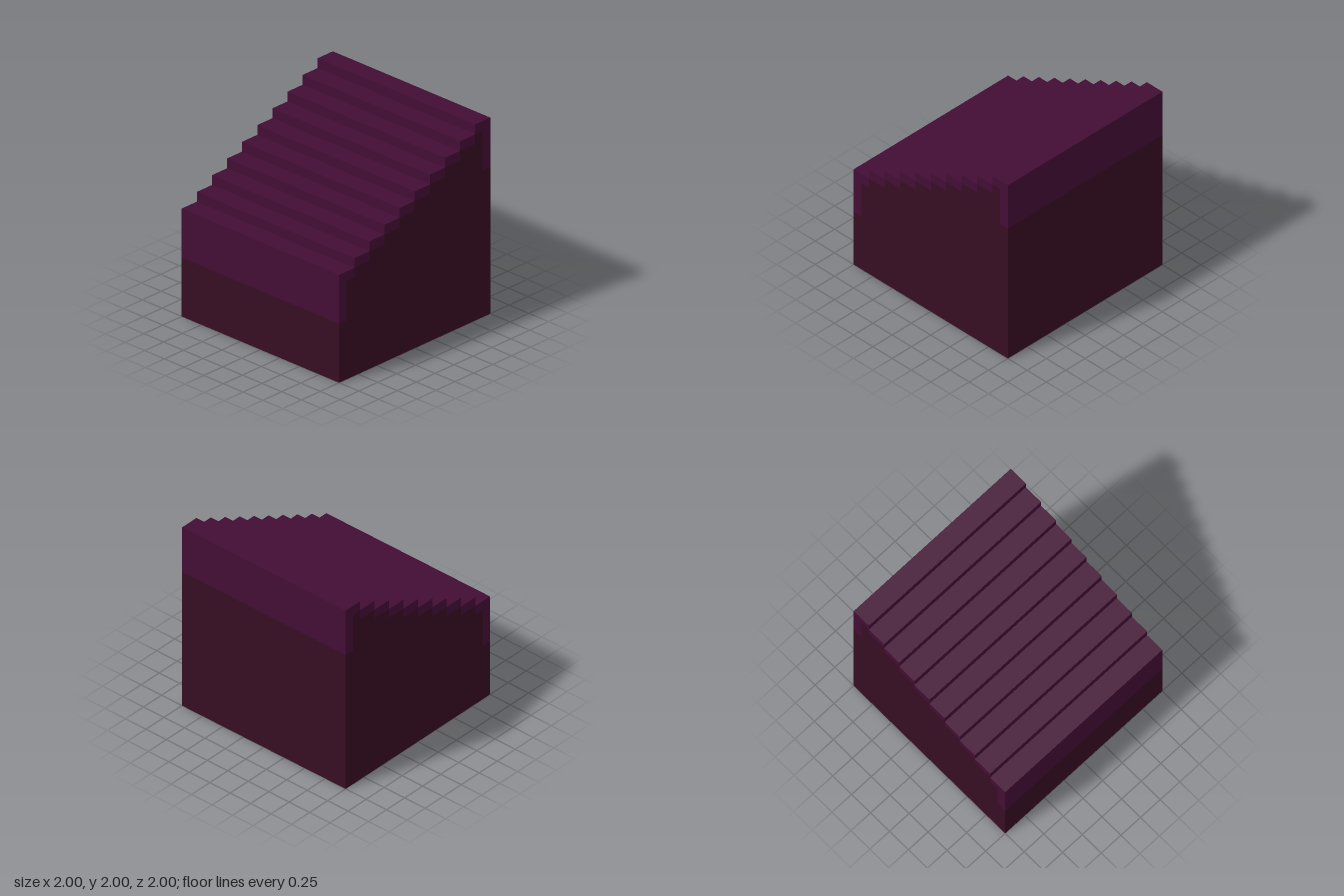
import * as THREE from 'three';

const STEPS = 10, RUN = 0.2, RISE = 0.1, WIDTH = 2;

export function createModel() {
  const group = new THREE.Group();
  group.name = 'staircaseBlock';
  const trimMat = new THREE.MeshStandardMaterial({ color: 0x430d35 });
  trimMat.name = 'plum trim';
  const baseMat = new THREE.MeshStandardMaterial({ color: 0x360d22 });
  baseMat.name = 'dark maroon';

  // Full-width slab between two depths and two heights
  function slab(name, z0, z1, y0, y1) {
    const mesh = new THREE.Mesh(new THREE.BoxGeometry(WIDTH, y1 - y0, z1 - z0), trimMat);
    mesh.position.set(0, (y0 + y1) / 2, (z0 + z1) / 2);
    mesh.name = name;
    group.add(mesh);
  }

  // Side profile of the body (x of the shape becomes z), stepping under each tread
  const profile = new THREE.Shape();
  profile.moveTo(-1, 0);
  profile.lineTo(1, 0);
  profile.lineTo(1, 0.6);
  profile.lineTo(0.9, 0.6);
  for (let i = 0; i < STEPS; i++) {
    const front = i === 0 ? 0.9 : 1 - i * RUN;
    const back = i === STEPS - 1 ? -0.9 : 1 - (i + 1) * RUN;
    profile.lineTo(front, 1 + i * RISE);
    profile.lineTo(back, 1 + i * RISE);
  }
  profile.lineTo(-0.9, 1.5);
  profile.lineTo(-1, 1.5);
  const bodyGeo = new THREE.ExtrudeGeometry(profile, { depth: WIDTH, bevelEnabled: false });
  bodyGeo.translate(0, 0, -WIDTH / 2).rotateY(-Math.PI / 2);
  const body = new THREE.Mesh(bodyGeo, baseMat);
  body.name = 'body';
  group.add(body);

  // Treads
  for (let i = 0; i < STEPS; i++) {
    const z = 1 - i * RUN, y = 1 + i * RISE;
    slab('step' + (i + 1), z - RUN, z, y, y + RISE);
  }

  // Bands hanging below the first and last step
  slab('frontBand', 0.9, 1, 0.6, 1);
  slab('backBand', -1, -0.9, 1.5, 1.9);
  return group;
}
